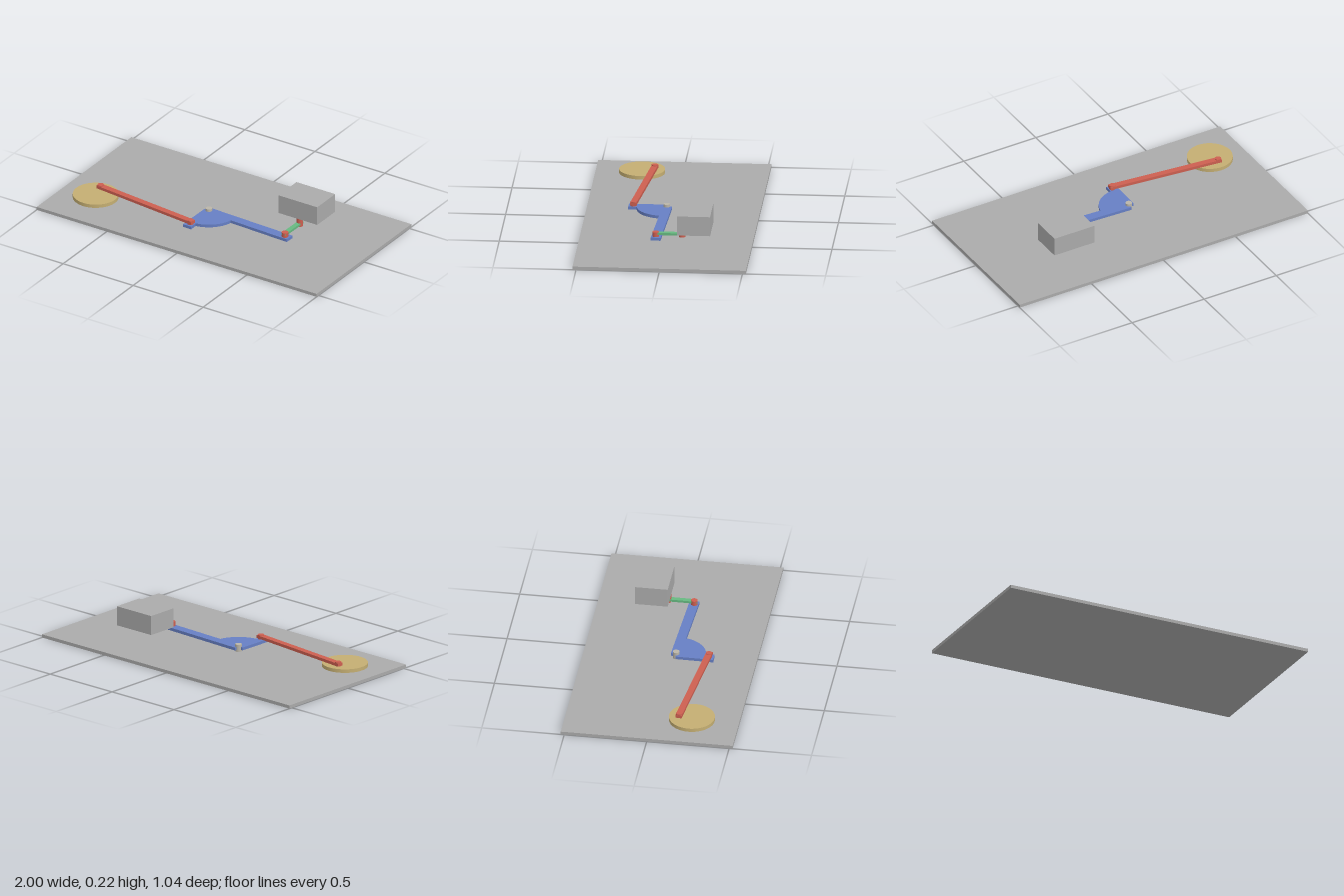
import * as THREE from 'three';

export function createModel() {
  const model = new THREE.Group();
  model.name = 'bellCrankLinkage';

  const material = (name, color) => {
    const m = new THREE.MeshStandardMaterial({ color });
    m.name = name;
    return m;
  };
  const grey = material('plate grey', 0xaaaaaa);
  const pinGrey = material('pin grey', 0xbab5a8);
  const blue = material('crank blue', 0x667fc4);
  const red = material('rod red', 0xcc5f50);
  const green = material('link green', 0x66b880);
  const tan = material('wheel tan', 0xc4ae72);

  const add = (name, geometry, mat, x, y, z) => {
    const mesh = new THREE.Mesh(geometry, mat);
    mesh.name = name;
    mesh.position.set(x, y, z);
    model.add(mesh);
    return mesh;
  };
  // Upright cylinder between two heights
  const pin = (name, mat, x, z, r, y0, y1, sides = 24) =>
    add(name, new THREE.CylinderGeometry(r, r, y1 - y0, sides), mat, x, (y0 + y1) / 2, z);
  // Flat bar joining two plan points [x, z], running past both by half its width
  const bar = (name, mat, a, b, width, y0, y1) => {
    const dx = b[0] - a[0], dz = b[1] - a[1];
    const geometry = new THREE.BoxGeometry(Math.hypot(dx, dz) + width, y1 - y0, width);
    const mesh = add(name, geometry, mat, (a[0] + b[0]) / 2, (y0 + y1) / 2, (a[1] + b[1]) / 2);
    mesh.rotation.y = -Math.atan2(dz, dx);
  };

  // Base plate and servo housing
  add('basePlate', new THREE.BoxGeometry(2, 0.02, 1.042), grey, 0, 0.01, 0);
  add('servoHousing', new THREE.BoxGeometry(0.277, 0.12, 0.198), grey, 0.477, 0.163, -0.177);

  // Joint positions in plan
  const pivot = [-0.083, 0.038];
  const wheelJoint = [-0.775, 0.163];
  const crankJoint = [-0.085, 0.237];
  const linkJoint = [0.476, 0.062];
  const servoJoint = [0.478, -0.098];

  // Bell crank: two arms with a quarter disc between them, open at the pivot corner
  const outline = new THREE.Shape();
  outline.moveTo(pivot[0], 0.006);
  outline.lineTo(0.508, 0.03);
  outline.lineTo(0.506, 0.089);
  outline.lineTo(0.436, 0.086);
  outline.lineTo(0.094, 0.071);
  outline.absarc(pivot[0], pivot[1], 0.18, 0.185, 1.45, false);
  outline.lineTo(-0.061, 0.268);
  outline.lineTo(-0.119, 0.268);
  outline.lineTo(-0.116, pivot[1]);
  outline.lineTo(pivot[0], pivot[1]);
  outline.closePath();
  const crank = new THREE.ExtrudeGeometry(outline, { depth: 0.018, bevelEnabled: false, curveSegments: 20 });
  crank.rotateX(Math.PI / 2);
  add('bellCrank', crank, blue, 0, 0.048, 0);
  pin('pivotPin', pinGrey, ...pivot, 0.02, 0.02, 0.064);

  // Steered wheel
  pin('wheelDisc', tan, -0.762, 0.238, 0.138, 0.03, 0.052, 64);

  // Long push rod with its end pins
  bar('pushRod', red, wheelJoint, crankJoint, 0.038, 0.053, 0.071);
  pin('wheelPin', red, ...wheelJoint, 0.019, 0.05, 0.077);
  pin('crankPin', red, ...crankJoint, 0.019, 0.046, 0.075);

  // Short servo link with its end pins
  bar('servoLink', green, linkJoint, servoJoint, 0.03, 0.06, 0.074);
  pin('linkPin', red, ...linkJoint, 0.02, 0.046, 0.077);
  pin('servoShaft', red, ...servoJoint, 0.02, 0.05, 0.105);

  return model;
}
